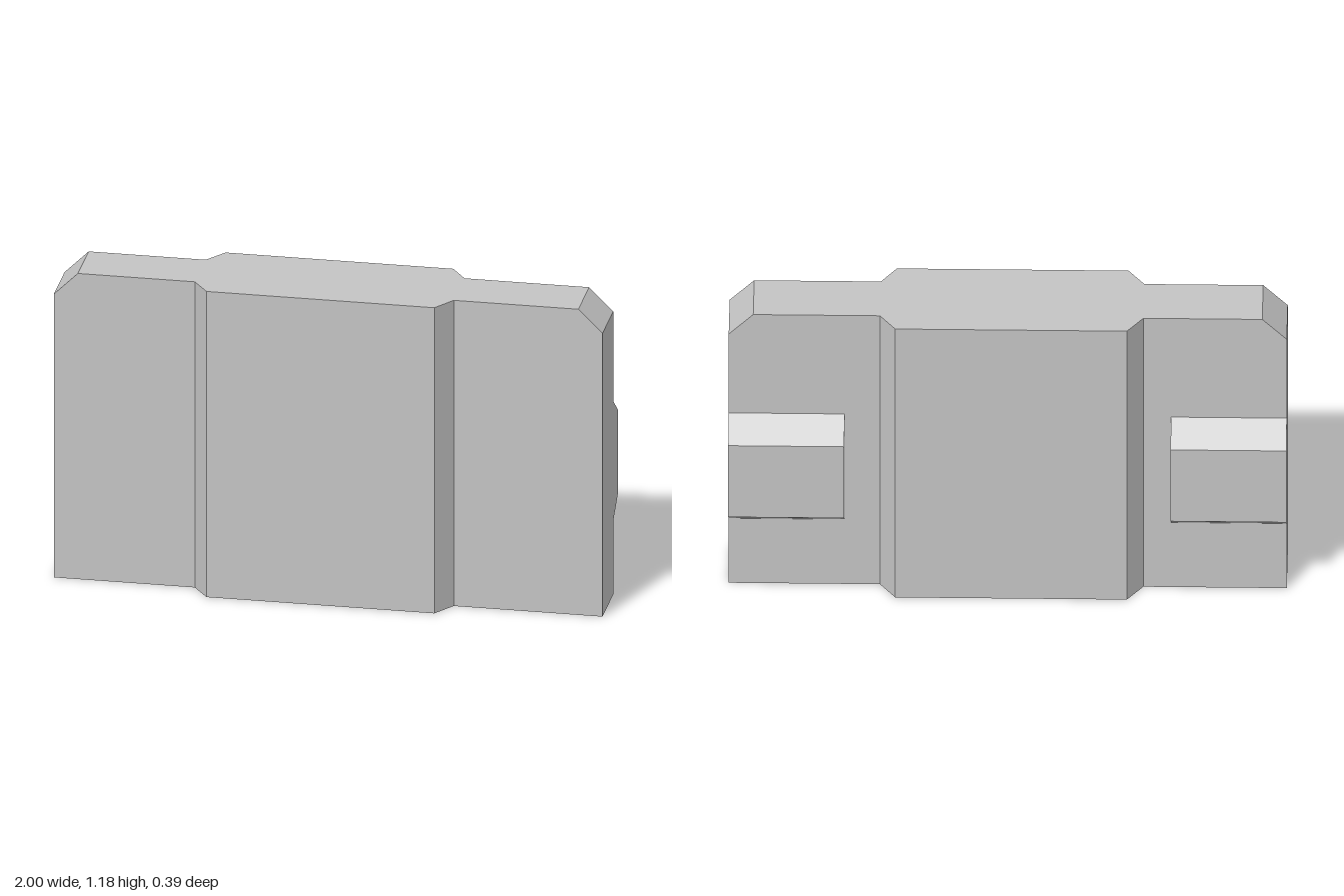
import * as THREE from 'three';

const steel = new THREE.MeshStandardMaterial({ color: 0xc4c4c4 });
steel.name = 'plain grey';

// Closed solid skinned through rectangular sections along x: [x, zBack, zFront, top]
function skinSections(stations) {
  const rings = stations.map(([x, back, front, top]) => [
    [x, 0, front], [x, 0, back], [x, top, back], [x, top, front],
  ]);
  const pos = [];
  const quad = (a, b, c, d) => pos.push(...a, ...b, ...c, ...a, ...c, ...d);
  for (let i = 0; i < rings.length - 1; i++) {
    const p = rings[i], q = rings[i + 1];
    for (let j = 0; j < 4; j++) {
      const k = (j + 1) % 4;
      quad(p[j], p[k], q[k], q[j]);
    }
  }
  const [s, e] = [rings[0], rings[rings.length - 1]];
  quad(s[3], s[2], s[1], s[0]);
  quad(e[0], e[1], e[2], e[3]);
  const geo = new THREE.BufferGeometry();
  geo.setAttribute('position', new THREE.Float32BufferAttribute(pos, 3));
  geo.computeVertexNormals();
  return geo;
}

export function createModel() {
  const model = new THREE.Group();
  model.name = 'panelBlock';

  // Slab with chamfered top corners and a thicker middle
  const thin = [-0.097, 0.113], thick = [-0.177, 0.194], top = 1.185, low = 1.098;
  const body = new THREE.Mesh(skinSections([
    [-1, ...thin, low],
    [-0.912, ...thin, top],
    [-0.486, ...thin, top],
    [-0.428, ...thick, top],
    [0.402, ...thick, top],
    [0.458, ...thin, top],
    [0.912, ...thin, top],
    [1, ...thin, low],
  ]), steel);
  body.name = 'body';
  model.add(body);

  // Tapered lugs on the back: profile drawn as (z, y), extruded along x
  const profile = new THREE.Shape([
    [-0.097, 0.285], [-0.097, 0.75], [-0.194, 0.675], [-0.194, 0.36],
  ].map(([z, y]) => new THREE.Vector2(z, y)));
  const lugWidth = 0.415;
  const lugGeo = new THREE.ExtrudeGeometry(profile, { depth: lugWidth, bevelEnabled: false });
  lugGeo.rotateY(-Math.PI / 2);
  for (const [name, x] of [['leftLug', 1], ['rightLug', -1 + lugWidth]]) {
    const lug = new THREE.Mesh(lugGeo, steel);
    lug.name = name;
    lug.position.x = x;
    model.add(lug);
  }
  return model;
}
